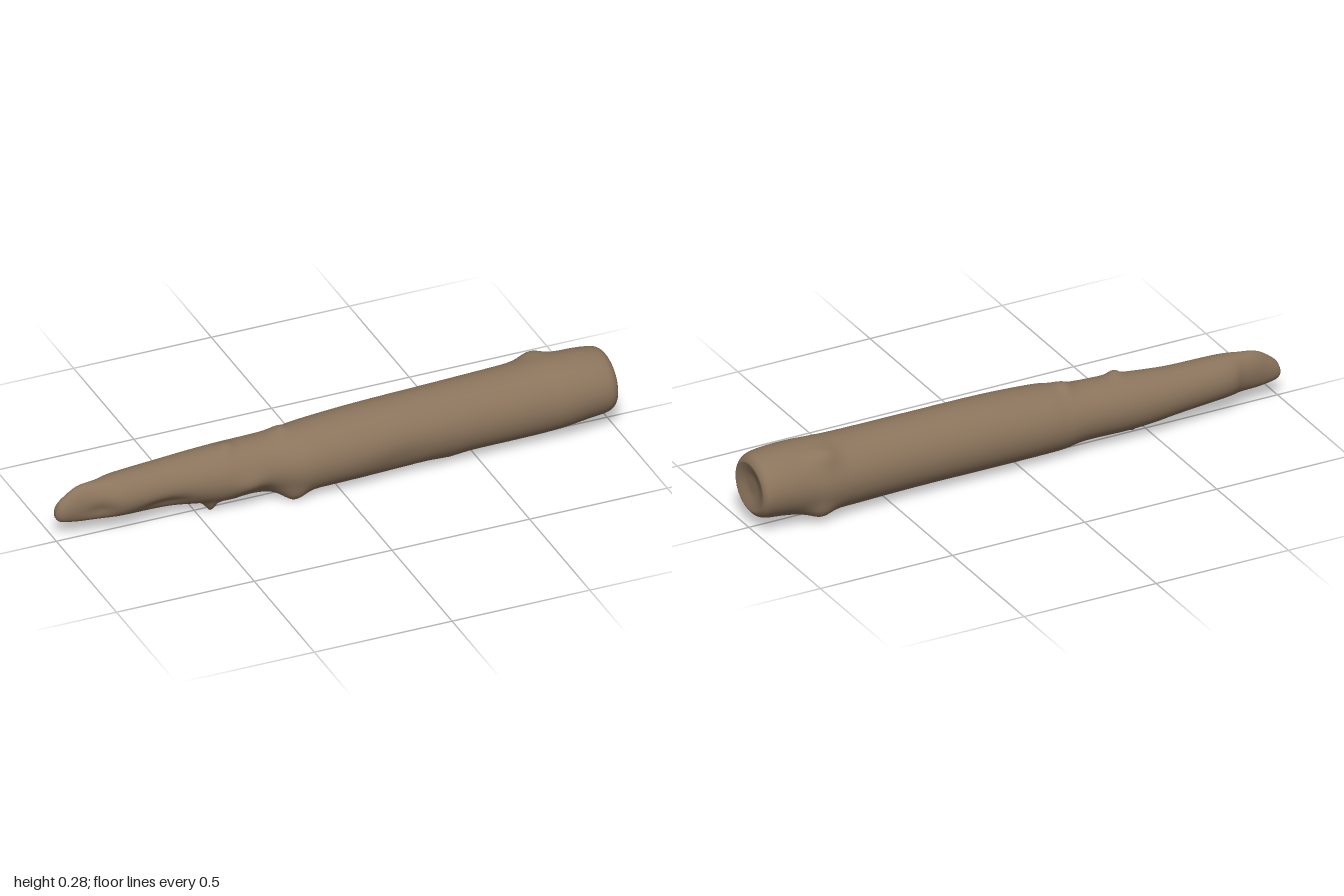
import * as THREE from 'three';

// Sections along the log: x, bottom y, top y, back z, front z
const sections = [
  [-1.0, 0.1, 0.1, -0.01, -0.01],
  [-0.998, 0.085, 0.12, -0.025, 0.0],
  [-0.98, 0.07, 0.15, -0.032, 0.014],
  [-0.92, 0.06, 0.19, -0.04, 0.025],
  [-0.85, 0.058, 0.2, -0.053, 0.045],
  [-0.78, 0.055, 0.206, -0.076, 0.064],
  [-0.6, 0.046, 0.213, -0.092, 0.066],
  [-0.5, 0.035, 0.22, -0.098, 0.076],
  [-0.4, 0.028, 0.227, -0.1, 0.09],
  [-0.25, 0.028, 0.232, -0.1, 0.1],
  [-0.17, 0.015, 0.24, -0.105, 0.12],
  [-0.1, 0.012, 0.25, -0.11, 0.13],
  [0.1, 0.013, 0.262, -0.116, 0.13],
  [0.4, 0.017, 0.268, -0.122, 0.122],
  [0.65, 0.016, 0.272, -0.132, 0.12],
  [0.75, 0.017, 0.277, -0.135, 0.12],
  [0.82, 0.025, 0.278, -0.13, 0.124],
  [0.9, 0.037, 0.277, -0.127, 0.122],
  [0.96, 0.044, 0.27, -0.123, 0.118],
  [0.985, 0.052, 0.26, -0.117, 0.11],
  [0.998, 0.066, 0.243, -0.102, 0.097],
  [0.997, 0.08, 0.23, -0.085, 0.085],
  [0.985, 0.12, 0.19, -0.04, 0.04],
  [0.983, 0.155, 0.155, 0, 0],
];

// Knots and dents: x, angle (0 front, 90 top), height, length along x, width in degrees
const knots = [
  [-0.45, -78, 0.032, 0.02, 16],
  [-0.39, 80, 0.016, 0.022, 18],
  [-0.19, 95, 0.014, 0.03, 20],
  [-0.17, -58, 0.026, 0.045, 20],
  [-0.33, -10, 0.01, 0.05, 20],
  [-0.62, -35, -0.014, 0.09, 22],
  [-0.3, -45, -0.014, 0.05, 22],
  [0.76, 128, 0.018, 0.05, 16],
  [0.78, 228, 0.02, 0.05, 16],
  [0.4, -70, 0.006, 0.05, 25],
  [0.2, -20, -0.006, 0.1, 25],
  [-0.85, -20, -0.01, 0.05, 25],
];

function logGeometry(sides, rings) {
  const type = 'catmullrom';
  const heights = new THREE.CatmullRomCurve3(
    sections.map(([x, b, t]) => new THREE.Vector3(x, b, t)), false, type);
  const depths = new THREE.CatmullRomCurve3(
    sections.map(([x, , , b, f]) => new THREE.Vector3(x, b, f)), false, type);
  const positions = [];
  const indices = [];
  for (let i = 0; i <= rings; i++) {
    const h = heights.getPoint(i / rings);
    const d = depths.getPoint(i / rings);
    const ry = Math.max(0, (h.z - h.y) / 2);
    const rz = Math.max(0, (d.z - d.y) / 2);
    for (let j = 0; j < sides; j++) {
      const deg = (j / sides) * 360;
      const a = THREE.MathUtils.degToRad(deg);
      let bump = 0;
      for (const [kx, ka, height, length, width] of knots) {
        const da = ((deg - ka + 540) % 360) - 180;
        bump += height * Math.exp(-(((h.x - kx) / length) ** 2) - (da / width) ** 2);
      }
      positions.push(
        h.x,
        Math.max(0, (h.y + h.z) / 2 + (ry + bump) * Math.sin(a)),
        (d.y + d.z) / 2 + (rz + bump) * Math.cos(a));
      if (i < rings) {
        const k = (j + 1) % sides;
        const p = i * sides + j, q = i * sides + k;
        indices.push(p, p + sides, q + sides, p, q + sides, q);
      }
    }
  }
  const geometry = new THREE.BufferGeometry();
  geometry.setAttribute('position', new THREE.Float32BufferAttribute(positions, 3));
  geometry.setIndex(indices);
  geometry.computeVertexNormals();
  return geometry;
}

export function createModel() {
  const group = new THREE.Group();
  group.name = 'log';
  const wood = new THREE.MeshStandardMaterial({ color: 0x8b745c });
  wood.name = 'brown wood';

  // Tapered trunk with knots and a slightly hollow sawn end
  const trunk = new THREE.Mesh(logGeometry(48, (sections.length - 1) * 8), wood);
  trunk.name = 'trunk';
  group.add(trunk);
  return group;
}
